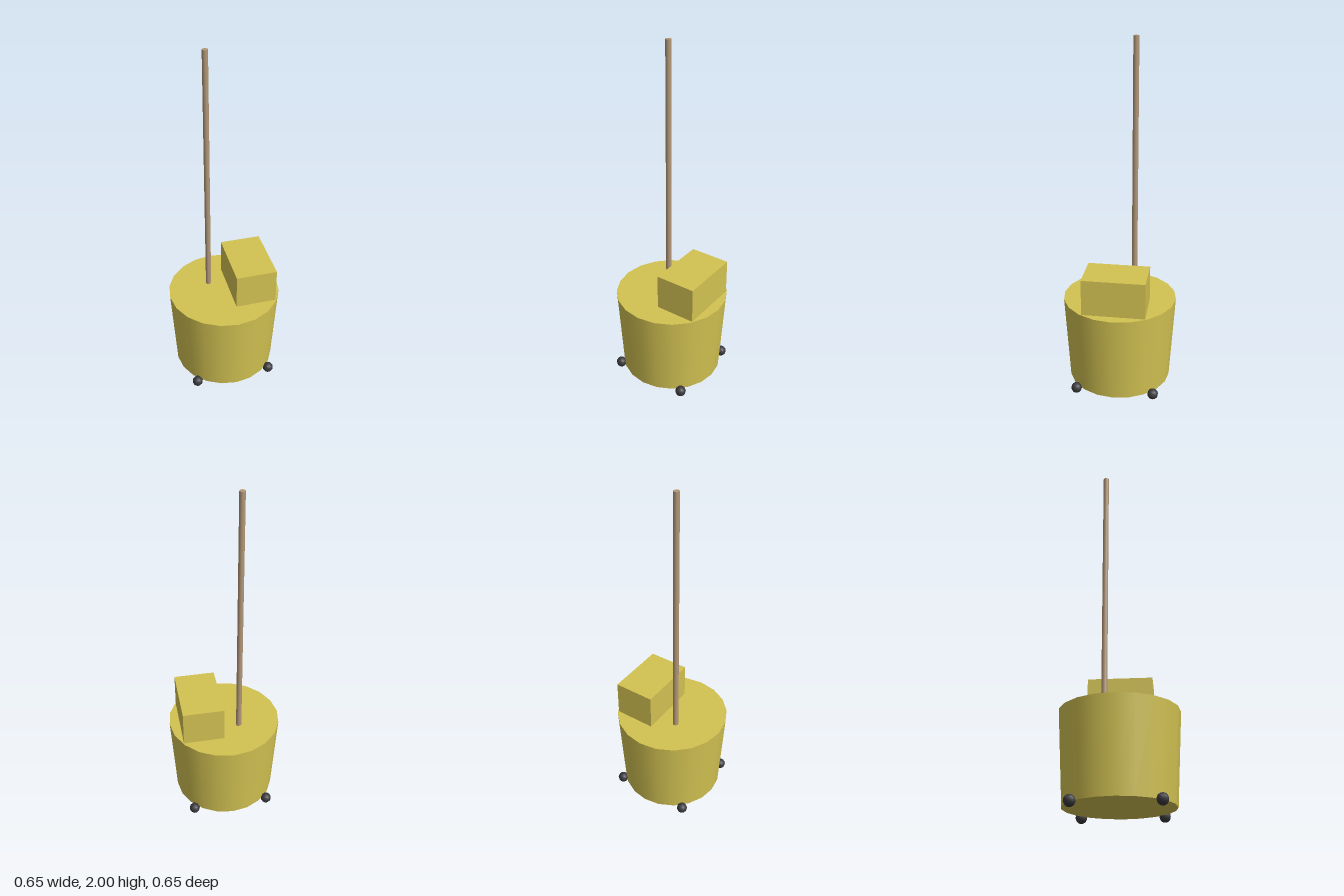
import * as THREE from 'three';

export function createModel() {
  const group = new THREE.Group();
  const mat = (name, color) => {
    const m = new THREE.MeshStandardMaterial({ color });
    m.name = name;
    return m;
  };
  const yellow = mat('mustard yellow', 0xd2c252);
  const wood = mat('tan wood', 0xb29778);
  const dark = mat('dark rubber', 0x39393d);

  const add = (name, geometry, material, x, y, z) => {
    const mesh = new THREE.Mesh(geometry, material);
    mesh.name = name;
    mesh.position.set(x, y, z);
    group.add(mesh);
  };

  // Tapered bucket with a closed top
  add('bucket', new THREE.CylinderGeometry(0.325, 0.295, 0.5, 20), yellow, 0, 0.284, 0);

  // Wringer box on the left side, sunk slightly into the bucket top
  add('wringer', new THREE.BoxGeometry(0.236, 0.222, 0.354), yellow, 0.147, 0.631, 0);

  // Tall handle standing on the bucket
  add('handle', new THREE.CylinderGeometry(0.016, 0.016, 1.48, 12), wood, -0.075, 1.26, -0.075);

  // Four ball casters around the base
  const ball = new THREE.SphereGeometry(0.031, 10, 8);
  for (const x of [-0.222, 0.222]) {
    for (const z of [-0.222, 0.222]) add('caster', ball, dark, x, 0.031, z);
  }
  return group;
}
